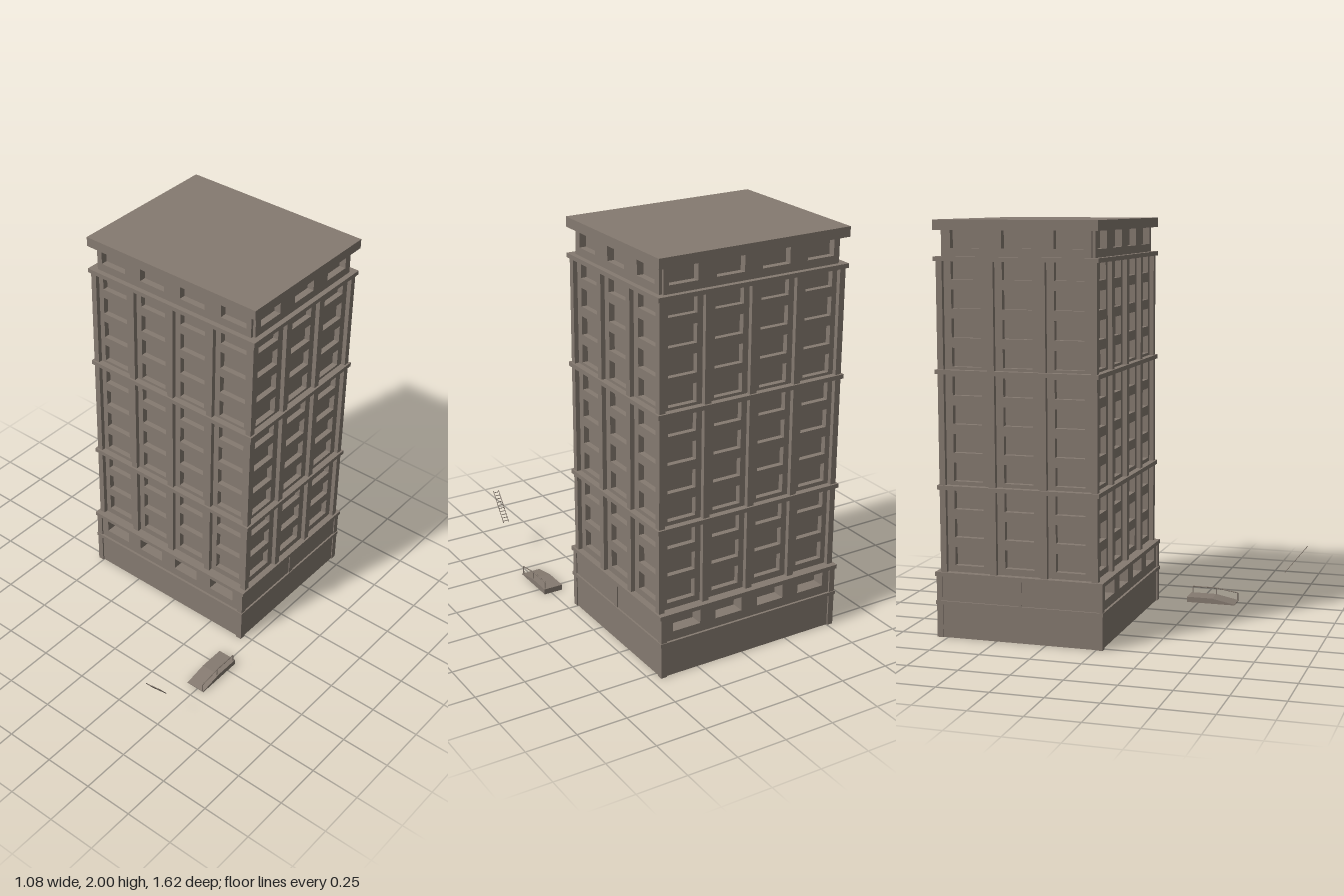
import * as THREE from 'three';

const stone = new THREE.MeshStandardMaterial({ color: 0x857a70 });
stone.name = 'stone';

// Box given by its limits
function box(parent, name, x0, x1, y0, y1, z0, z1) {
  const m = new THREE.Mesh(new THREE.BoxGeometry(x1 - x0, y1 - y0, z1 - z0), stone);
  m.position.set((x0 + x1) / 2, (y0 + y1) / 2, (z0 + z1) / 2);
  m.name = name;
  parent.add(m);
  return m;
}

// Round bar between two points
function bar(parent, name, a, b, r) {
  const curve = new THREE.LineCurve3(new THREE.Vector3(...a), new THREE.Vector3(...b));
  const m = new THREE.Mesh(new THREE.TubeGeometry(curve, 1, r, 6), stone);
  m.name = name;
  parent.add(m);
}

// Wall with a row of openings: piers between them, solid strips over and under
function windowRow(parent, name, half, centres, w, y0, y1, gaps, zBack, zFront) {
  let u = -half;
  for (const c of [...centres, null]) {
    box(parent, name + 'Pier', u, c === null ? half : c - w / 2, y0, y1, zBack, zFront);
    if (c === null) break;
    u = c + w / 2;
    let y = y0;
    for (const [g0, g1] of [...gaps, [y1, y1]]) {
      if (g0 - y > 0.001) box(parent, name + 'Spandrel', c - w / 2, u, y, g0, zBack, zFront);
      y = g1;
    }
  }
}

// Floors of the shaft: bottom, top, first window sill, number of windows
const tiers = [[0.32, 0.73, 0.355, 3], [0.74, 1.285, 0.765, 4], [1.295, 1.82, 1.312, 4]];

// One side of the tower, facing +z, with depth d from the centre
function facade(n, pitch, half, depth, long) {
  const g = new THREE.Group();
  const centres = Array.from({ length: n }, (_, i) => (i - (n - 1) / 2) * pitch);
  for (const [y0, y1, sill, count] of tiers) {
    const gaps = Array.from({ length: count }, (_, i) => [sill + i * 0.137, sill + i * 0.137 + 0.09]);
    windowRow(g, 'shaft', half - 0.025, centres, 0.147, y0, y1, gaps, depth - 0.05, depth - 0.022);
  }
  // Tall pilasters between the bays and at the corners
  for (let i = 1; i < n; i++) {
    const u = (i - n / 2) * pitch;
    box(g, 'pilaster', u - 0.017, u + 0.017, 0.32, 1.82, depth - 0.05, depth);
  }
  // Top storey
  windowRow(g, 'attic', half - 0.03, centres, 0.145, 1.82, 1.955, [[1.868, 1.955]], depth - 0.05, depth - 0.016);
  return g;
}

export function createModel() {
  const root = new THREE.Group();
  root.name = 'tower';
  const tower = new THREE.Group();
  tower.name = 'building';
  tower.position.set(-0.04, 0, -0.385);
  root.add(tower);
  const hx = 0.49, hz = 0.395;

  // Inner core, seen as window panes
  box(tower, 'windowCore', -hx + 0.05, hx - 0.05, 0.16, 1.96, -hz + 0.05, hz - 0.05);

  // Four facades
  for (let i = 0; i < 4; i++) {
    const long = i % 2 === 0;
    const f = long ? facade(4, 0.24, hx, hz) : facade(3, 0.255, hz, hx);
    f.name = ['frontFacade', 'leftFacade', 'backFacade', 'rightFacade'][i];
    f.rotation.y = i * Math.PI / 2;
    tower.add(f);
  }

  // Corner posts of shaft and base
  for (const sx of [-1, 1]) for (const sz of [-1, 1]) {
    const post = box(tower, 'cornerPost', -0.015, 0.015, 0.32, 1.82, -0.015, 0.015);
    post.position.x = sx * (hx - 0.015);
    post.position.z = sz * (hz - 0.015);
    const foot = box(tower, 'basePost', -0.015, 0.015, 0, 0.32, -0.015, 0.015);
    foot.position.x = sx * 0.477;
    foot.position.z = sz * 0.403;
  }

  // Horizontal cornices and roof
  const slab = (name, x, z, y0, y1) => box(tower, name, -x, x, y0, y1, -z, z);
  slab('baseCornice', 0.496, 0.422, 0.163, 0.181);
  slab('mezzanineCornice', 0.5, 0.422, 0.303, 0.323);
  for (const y of [0.725, 1.278, 1.808]) slab('cornice', 0.5, 0.405, y, y + 0.021);
  slab('roof', 0.5, 0.405, 1.952, 2);

  // Hollow base with mezzanine windows front and back
  const centres = [-0.35, -0.12, 0.115, 0.35];
  for (const s of [1, -1]) {
    const g = new THREE.Group();
    g.name = s > 0 ? 'frontBase' : 'backBase';
    g.rotation.y = s > 0 ? 0 : Math.PI;
    box(g, 'baseWall', -0.47, 0.47, 0, 0.17, 0.395, 0.41);
    windowRow(g, 'mezzanine', 0.47, centres, 0.147, 0.17, 0.31, [[0.225, 0.303]], 0.34, 0.41);
    tower.add(g);
    // Side walls with a middle post
    const x = s * 0.48;
    box(tower, 'sideBaseWall', x - 0.007, x + 0.007, 0, 0.31, -0.4, 0.4);
    box(tower, 'sideMiddlePost', s * 0.485 - 0.007, s * 0.485 + 0.007, 0.17, 0.31, -0.015, 0.015);
  }

  // Entrance ramp with a handrail
  const ramp = new THREE.Group();
  ramp.name = 'ramp';
  root.add(ramp);
  const side = new THREE.Shape([[-0.445, 0], [-0.19, 0], [-0.19, 0.028], [-0.325, 0.028], [-0.445, 0.004]]
    .map(p => new THREE.Vector2(...p)));
  const body = new THREE.Mesh(new THREE.ExtrudeGeometry(side, { depth: 0.1, bevelEnabled: false }), stone);
  body.name = 'rampBody';
  body.rotation.y = Math.PI / 2;
  body.position.x = 0.438;
  ramp.add(body);
  const rail = [[0.045, 0.442, 0.004], [0.063, 0.328, 0.02], [0.063, 0.2, 0.02]];
  rail.forEach(([y, z, foot], i) => {
    bar(ramp, 'railPost', [0.53, foot, z], [0.53, y, z], 0.003);
    if (i) bar(ramp, 'handrail', [0.53, rail[i - 1][0], rail[i - 1][1]], [0.53, y, z], 0.003);
  });

  // Leaning ladder
  const ladder = new THREE.Group();
  ladder.name = 'ladder';
  root.add(ladder);
  for (const x of [0.483, 0.513]) bar(ladder, 'ladderRail', [x, 0.185, 0.7], [x, 0.325, 0.812], 0.002);
  for (let i = 0; i < 10; i++) {
    const t = (i + 0.5) / 10;
    bar(ladder, 'rung', [0.483, 0.185 + 0.14 * t, 0.7 + 0.112 * t], [0.513, 0.185 + 0.14 * t, 0.7 + 0.112 * t], 0.002);
  }
  return root;
}
